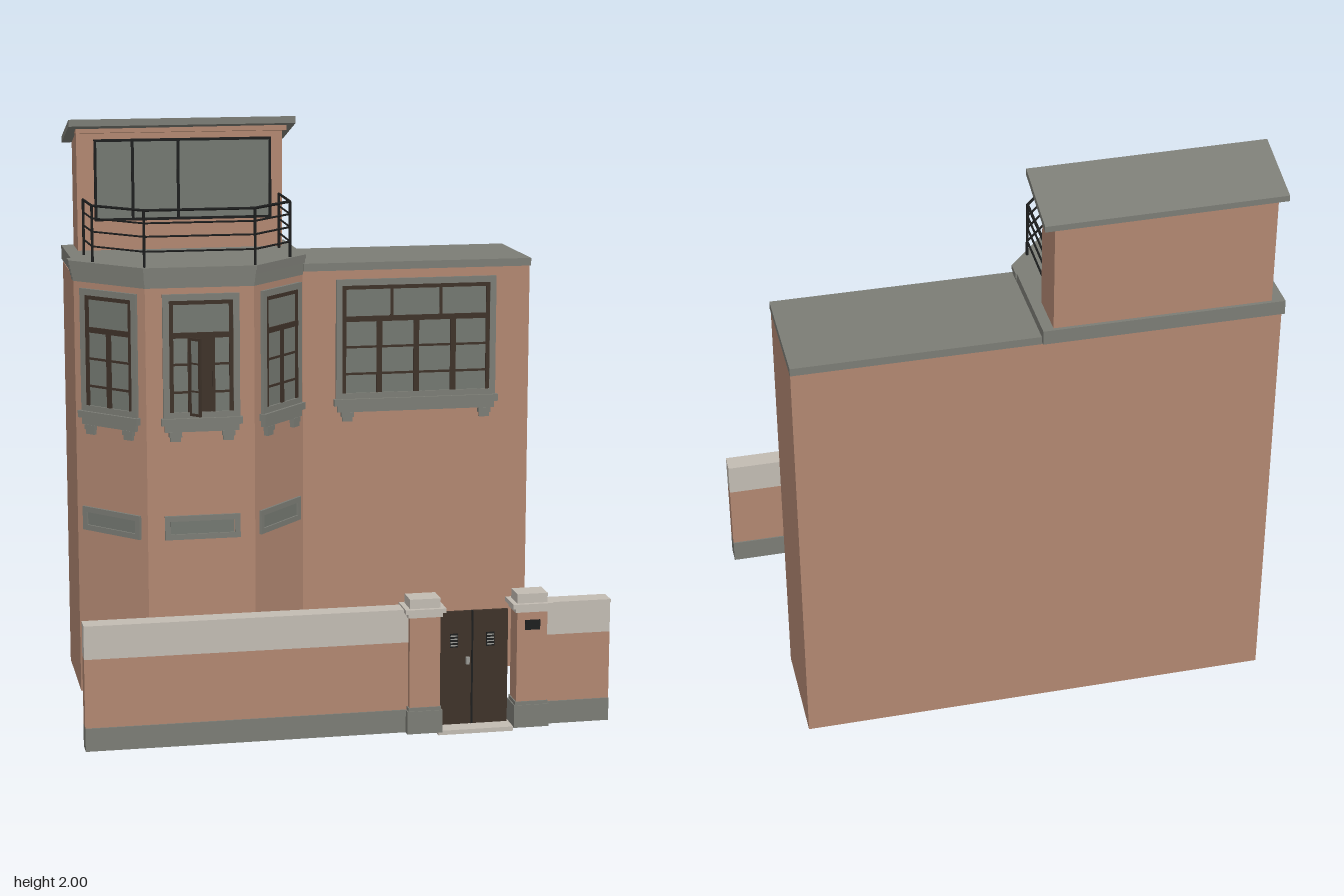
import * as THREE from 'three';

const mat = (name, color) => {
  const m = new THREE.MeshStandardMaterial({ color });
  m.name = name;
  return m;
};

export function createModel() {
  const brick = mat('brick', 0xb18771);
  const stone = mat('greyStone', 0x7b7c75);
  const glass = mat('glass', 0x737770);
  const pale = mat('paleStone', 0xc2bbb2);
  const wood = mat('darkWood', 0x3e3229);
  const iron = mat('blackIron', 0x1d1e1e);
  const steel = mat('steel', 0x9a9a95);

  const root = new THREE.Group();
  root.name = 'house';
  const group = (name, parent = root) => {
    const g = new THREE.Group();
    g.name = name;
    parent.add(g);
    return g;
  };
  const add = (parent, name, geo, m) => {
    const mesh = new THREE.Mesh(geo, m);
    mesh.name = name;
    parent.add(mesh);
    return mesh;
  };
  // Box from its limits on each axis
  const box = (parent, name, m, x0, x1, y0, y1, z0, z1) => {
    const mesh = add(parent, name, new THREE.BoxGeometry(x1 - x0, y1 - y0, z1 - z0), m);
    mesh.position.set((x0 + x1) / 2, (y0 + y1) / 2, (z0 + z1) / 2);
  };
  const shapeOf = (pts, flip = 1) => new THREE.Shape(pts.map(([a, b]) => new THREE.Vector2(a, b * flip)));
  // Upright prism over a plan of [x, z] points; a hole winds the other way
  const prism = (parent, name, m, plan, y0, y1, hole) => {
    const s = shapeOf(plan, -1);
    if (hole) s.holes.push(shapeOf([...hole].reverse(), -1));
    const geo = new THREE.ExtrudeGeometry(s, { depth: y1 - y0, bevelEnabled: false });
    geo.rotateX(-Math.PI / 2).translate(0, y0, 0);
    add(parent, name, geo, m);
  };
  // Side profile of [z, y] points run along x
  const run = (parent, name, m, profile, x0, x1) => {
    const geo = new THREE.ExtrudeGeometry(shapeOf(profile), { depth: x1 - x0, bevelEnabled: false });
    geo.rotateY(-Math.PI / 2).translate(x1, 0, 0);
    return add(parent, name, geo, m);
  };
  const bar = (parent, name, a, b, r) => {
    const d = b.clone().sub(a);
    const mesh = add(parent, name, new THREE.CylinderGeometry(r, r, d.length(), 6), iron);
    mesh.position.copy(a).add(b).multiplyScalar(0.5);
    mesh.quaternion.setFromUnitVectors(new THREE.Vector3(0, 1, 0), d.normalize());
  };
  // Four strips around an opening
  const border = (parent, name, m, x0, x1, y0, y1, t, z0, z1) => {
    box(parent, name, m, x0, x0 + t, y0, y1, z0, z1);
    box(parent, name, m, x1 - t, x1, y0, y1, z0, z1);
    box(parent, name, m, x0 + t, x1 - t, y1 - t, y1, z0, z1);
    box(parent, name, m, x0 + t, x1 - t, y0, y0 + t, z0, z1);
  };

  // Main walls, hollow and open below
  prism(root, 'walls', brick,
    [[-0.835, -0.535], [0.775, -0.535], [0.775, -0.15], [-0.04, -0.15], [-0.25, 0.085], [-0.62, 0.085], [-0.835, -0.15]],
    0.01, 1.48,
    [[-0.81, -0.51], [0.75, -0.51], [0.75, -0.175], [-0.052, -0.175], [-0.262, 0.06], [-0.608, 0.06], [-0.81, -0.16]]);
  box(root, 'wingRoof', stone, -0.04, 0.776, 1.478, 1.505, -0.538, -0.134);

  // Stepped cornice and terrace slab over the bay
  const cornicePlan = e => [[-0.835 - e, -0.2], [-0.04 + e * 0.6, -0.2], [-0.04 + e * 0.6, -0.15 + e * 0.4],
    [-0.25 + e * 0.4, 0.085 + e], [-0.62 - e * 0.4, 0.085 + e], [-0.835 - e, -0.15 + e * 0.4]];
  [1.466, 1.48, 1.494, 1.508, 1.522].forEach((y, i) =>
    prism(root, 'cornice', stone, cornicePlan(0.003 + i * 0.0035), y, i === 4 ? 1.537 : y + 0.014));
  box(root, 'terraceSlab', stone, -0.838, -0.034, 1.488, 1.537, -0.557, -0.19);

  // Window in local space: foot of the opening at y = 0, facing +z
  const makeWindow = (name, w, cols, topCols, x, z, turn, open = -1) => {
    const g = group(name);
    g.position.set(x, 1.02, z);
    g.rotation.y = turn;
    const h = 0.425, half = w / 2, t = 0.022, inner = half - t, transom = 0.285;
    box(g, 'pane', glass, -inner, inner, 0, h - t, -0.002, 0.003);
    border(g, 'surround', stone, -half, half, 0, h, t, -0.002, 0.01);
    border(g, 'frame', wood, -inner, inner, 0.004, h - t, 0.014, 0, 0.008);
    box(g, 'transom', wood, -inner, inner, transom - 0.009, transom + 0.009, 0, 0.009);
    for (let i = 1; i < topCols; i++) {
      const px = -inner + (2 * inner * i) / topCols;
      box(g, 'topMullion', wood, px - 0.005, px + 0.005, transom, h - t, 0, 0.007);
    }
    const cw = (2 * inner) / cols;
    for (let i = 0; i < cols; i++) {
      const x0 = -inner + cw * i, x1 = x0 + cw;
      if (i === open) {
        // Sash standing open
        box(g, 'darkOpening', wood, x0, x1, 0.01, transom, 0.001, 0.005);
        const s = group('openSash', g);
        s.position.set(x0 - 0.004, 0, 0.005);
        s.rotation.y = -0.85;
        border(s, 'sash', wood, 0, 0.05, 0.01, transom - 0.008, 0.009, -0.004, 0.004);
        box(s, 'sashPane', glass, 0.008, 0.042, 0.018, transom - 0.016, -0.001, 0.001);
        [0.095, 0.19].forEach(y => box(s, 'glazingBar', wood, 0.008, 0.042, y - 0.003, y + 0.003, -0.003, 0.003));
        continue;
      }
      border(g, 'sash', wood, x0, x1, 0.008, transom, 0.01, 0, 0.008);
      [0.09, 0.185].forEach(y => box(g, 'glazingBar', wood, x0, x1, y - 0.004, y + 0.004, 0, 0.006));
    }
    // Sill on brackets
    box(g, 'sill', stone, -half - 0.008, half + 0.008, -0.022, 0.002, -0.004, 0.02);
    box(g, 'sillMoulding', stone, -half + 0.004, half - 0.004, -0.045, -0.022, -0.004, 0.013);
    [-1, 1].forEach(s => {
      const c = s * (half - 0.04);
      box(g, 'bracket', stone, c - 0.022, c + 0.022, -0.062, -0.045, -0.004, 0.015);
      box(g, 'bracketFoot', stone, c - 0.018, c + 0.018, -0.078, -0.062, -0.004, 0.012);
    });
  };
  const basementWindow = (x, z, turn) => {
    const g = group('basementWindow');
    g.position.set(x, 0.6, z);
    g.rotation.y = turn;
    box(g, 'pane', glass, -0.11, 0.11, 0, 0.07, -0.002, 0.003);
    border(g, 'surround', stone, -0.13, 0.13, 0, 0.083, 0.019, -0.002, 0.009);
  };
  const turn = Math.atan2(0.235, 0.21);
  makeWindow('bayFrontWindow', 0.262, 3, 1, -0.432, 0.085, 0, 1);
  makeWindow('bayLeftWindow', 0.25, 2, 1, -0.14, -0.038 + 0.011, turn);
  makeWindow('bayRightWindow', 0.25, 2, 1, -0.7275, -0.0325, -Math.atan2(0.235, 0.215));
  makeWindow('wingWindow', 0.575, 4, 3, 0.365, -0.15, 0);
  basementWindow(-0.432, 0.085, 0);
  basementWindow(-0.145, -0.0325, turn);
  basementWindow(-0.7275, -0.0325, -turn);

  // Rooftop room with a sloping, slightly skewed roof
  const room = group('rooftopRoom');
  run(room, 'roomWalls', brick, [[-0.545, 1.53], [-0.385, 1.53], [-0.385, 1.962], [-0.545, 1.91]], -0.795, -0.07);
  const roof = run(room, 'roof', stone, [[-0.552, 1.902], [-0.318, 1.976], [-0.318, 2], [-0.552, 1.922]], -0.828, -0.032);
  roof.rotation.y = 0.016;
  roof.position.set(0.006, 0, -0.007);
  run(room, 'roofFascia', brick, [[-0.39, 1.945], [-0.35, 1.95], [-0.35, 1.972], [-0.39, 1.96]], -0.8, -0.06);
  box(room, 'roomPane', glass, -0.73, -0.115, 1.645, 1.92, -0.387, -0.381);
  border(room, 'roomWindowFrame', iron, -0.735, -0.11, 1.64, 1.925, 0.009, -0.387, -0.375);
  [-0.6, -0.44].forEach(x => box(room, 'roomMullion', iron, x - 0.005, x + 0.005, 1.645, 1.92, -0.387, -0.377));

  // Terrace railing
  const railing = group('railing');
  const path = [[-0.785, -0.28], [-0.775, -0.09], [-0.62, 0.083], [-0.245, 0.083], [-0.095, -0.09], [-0.09, -0.335]];
  const at = (i, y) => new THREE.Vector3(path[i][0], y, path[i][1]);
  path.forEach((p, i) => {
    bar(railing, 'post', at(i, 1.53), at(i, 1.728), 0.005);
    if (i) [1.728, 1.685, 1.64, 1.59].forEach((y, k) =>
      bar(railing, 'rail', at(i - 1, y), at(i, y), k ? 0.0035 : 0.005));
  });

  // Garden wall in two lengths
  const wall = group('gardenWall');
  [[-0.887, 0.2], [0.65, 0.887]].forEach(([x0, x1]) => {
    box(wall, 'wallBase', stone, x0, x1, 0.01, 0.088, 0.457, 0.522);
    box(wall, 'wallBrick', brick, x0, x1, 0.088, 0.32, 0.462, 0.517);
    box(wall, 'wallBand', pale, x0, x1, 0.32, 0.422, 0.462, 0.517);
    box(wall, 'wallCoping', pale, x0, x1, 0.422, 0.434, 0.455, 0.523);
  });
  // Gate pillars
  [0.243, 0.61].forEach(x => {
    const p = group('gatePillar', wall);
    const tier = (name, m, hx, hz, y0, y1) => box(p, name, m, x - hx, x + hx, y0, y1, 0.5 - hz, 0.5 + hz);
    tier('pillarBase', stone, 0.06, 0.047, 0.01, 0.088);
    tier('pillarPlinth', stone, 0.056, 0.044, 0.088, 0.1);
    tier('pillarShaft', brick, 0.052, 0.04, 0.1, 0.41);
    tier('pillarNeck', pale, 0.059, 0.047, 0.41, 0.425);
    tier('pillarCap', pale, 0.069, 0.055, 0.425, 0.44);
    tier('pillarTop', pale, 0.052, 0.04, 0.44, 0.472);
  });
  box(wall, 'housePlate', iron, 0.585, 0.637, 0.348, 0.382, 0.539, 0.543);

  // Double gate
  const gate = group('gate');
  box(gate, 'threshold', pale, 0.29, 0.548, 0, 0.015, 0.463, 0.545);
  [[0.297, 0.416, 0.355], [0.42, 0.541, 0.48]].forEach(([x0, x1, c]) => {
    box(gate, 'gateLeaf', wood, x0, x1, 0.016, 0.408, 0.474, 0.486);
    box(gate, 'grilleBack', iron, c - 0.014, c + 0.014, 0.284, 0.332, 0.472, 0.488);
    for (let i = 0; i < 4; i++)
      box(gate, 'grilleBar', steel, c - 0.012, c + 0.012, 0.289 + i * 0.011, 0.293 + i * 0.011, 0.471, 0.489);
  });
  box(gate, 'meetingStrip', iron, 0.415, 0.421, 0.016, 0.408, 0.473, 0.488);
  box(gate, 'handle', steel, 0.396, 0.408, 0.225, 0.25, 0.47, 0.495);
  return root;
}
